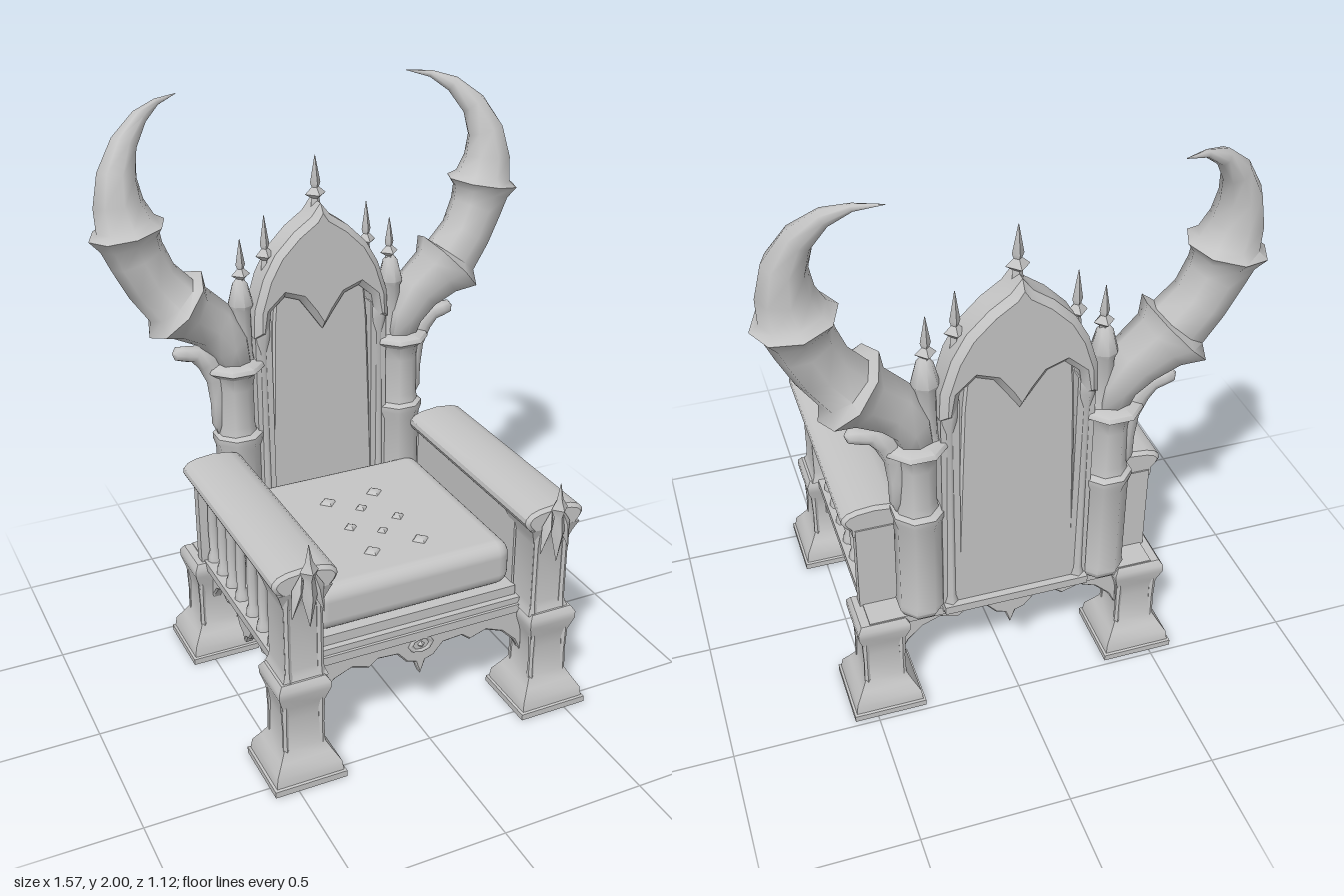
import * as THREE from 'three';
import { toCreasedNormals } from 'three/addons/utils/BufferGeometryUtils.js';
import { RoundedBoxGeometry } from 'three/addons/geometries/RoundedBoxGeometry.js';

const stone = new THREE.MeshStandardMaterial({ color: 0xc4c4c4 });
stone.name = 'pale grey stone';

export function createModel() {
  const root = new THREE.Group();
  root.name = 'gothicThrone';

  const add = (name, geo, x = 0, y = 0, z = 0) => {
    const mesh = new THREE.Mesh(geo, stone);
    mesh.name = name;
    mesh.position.set(x, y, z);
    root.add(mesh);
    return mesh;
  };
  const box = (name, w, h, d, x, y, z) => add(name, new THREE.BoxGeometry(w, h, d), x, y, z);

  // Turned part: profile of [radius, height], closed at both ends
  const turned = (name, profile, sides, x, y, z, crease = 0.6) => {
    const pts = [[0, profile[0][1]], ...profile, [0, profile[profile.length - 1][1]]];
    const geo = new THREE.LatheGeometry(pts.map(p => new THREE.Vector2(p[0], p[1])), sides);
    return add(name, toCreasedNormals(geo, crease), x, y, z);
  };
  // Square part: profile of [half width, height]
  const square = (name, profile, x, y, z) => {
    const mesh = turned(name, profile.map(([w, h]) => [w * Math.SQRT2, h]), 4, x, y, z);
    mesh.rotation.y = Math.PI / 4;
  };
  // Eight-sided part with flats to the front and sides
  const octagon = (name, profile, x, z) => {
    const mesh = turned(name, profile.map(([w, h]) => [w / Math.cos(Math.PI / 8), h]), 8, x, 0, z, 0.9);
    mesh.rotation.y = Math.PI / 8;
  };
  const finial = (name, h, x, y, z, w = 0.038) => turned(name,
    [[w * 0.5, 0], [w * 0.4, h * 0.22], [w, h * 0.3], [w * 0.35, h * 0.42], [w * 0.5, h * 0.5], [0.001, h]], 4, x, y, z);

  // Tapered sweep through [x, y, z, radius] stations
  const sweep = (name, stations, sides, s) => {
    const P = stations.map(p => new THREE.Vector3(p[0] * s, p[1], p[2]));
    const pos = [], idx = [], zAxis = new THREE.Vector3(0, 0, 1);
    P.forEach((p, i) => {
      const T = P[Math.min(i + 1, P.length - 1)].clone().sub(P[Math.max(i - 1, 0)]).normalize();
      const N = T.clone().cross(zAxis).normalize();
      const B = T.clone().cross(N);
      for (let j = 0; j < sides; j++) {
        const a = j / sides * Math.PI * 2, r = stations[i][3];
        const v = p.clone().addScaledVector(N, r * Math.cos(a)).addScaledVector(B, r * Math.sin(a));
        pos.push(v.x, v.y, v.z);
        if (i < P.length - 1) {
          const k = (j + 1) % sides, o = i * sides, n = o + sides;
          idx.push(o + j, o + k, n + k, o + j, n + k, n + j);
        }
      }
    });
    const geo = new THREE.BufferGeometry();
    geo.setAttribute('position', new THREE.Float32BufferAttribute(pos, 3));
    geo.setIndex(idx);
    return add(name, toCreasedNormals(geo, 1.1));
  };

  // Symmetric plate: right half outline from top centre round to bottom centre
  const plate = (name, half, depth, bevel) => {
    const left = half.filter(p => p[0] > 0).reverse().map(([x, y]) => [-x, y]);
    const shape = new THREE.Shape([...half, ...left].map(p => new THREE.Vector2(p[0], p[1])));
    const geo = new THREE.ExtrudeGeometry(shape, {
      depth: depth - 2 * bevel, bevelThickness: bevel,
      bevelSize: bevel, bevelOffset: -bevel, bevelSegments: 1
    });
    geo.translate(0, 0, -depth / 2 + bevel);
    return add(name, toCreasedNormals(geo, 0.6));
  };

  // Seat
  box('seatBase', 1.0, 0.03, 0.86, 0, 0.375, 0.0);
  box('seatRailLower', 0.76, 0.025, 0.84, 0, 0.4, 0);
  box('seatRailUpper', 0.74, 0.035, 0.8, 0, 0.432, 0);
  add('seatCushion', new RoundedBoxGeometry(0.725, 0.165, 0.74, 3, 0.05), 0, 0.53, 0.02);
  for (const [x, z, r] of [[0.09, -0.125, 0.033], [0, -0.04, 0.024], [0.09, 0.065, 0.025], [0, 0.13, 0.022], [0.09, 0.235, 0.033]])
    for (const s of x ? [1, -1] : [1])
      turned('cushionButton', [[r, 0], [r * 0.7, 0.01], [0.005, 0.015]], 4, x * s, 0.61, z);

  // Scalloped aprons on four sides
  const apron = (name, w, drop, x, z, turn) => {
    const mesh = plate(name, [[0, 0.37], [w, 0.37], [w, 0.19], [w * 0.93, 0.24], [w * 0.8, 0.29],
      [w * 0.64, 0.315], [w * 0.48, 0.295], [w * 0.4, 0.32], [w * 0.22, 0.315],
      [w * 0.13, 0.275], [w * 0.05, 0.265], [0, drop]], 0.035, 0.006);
    mesh.position.set(x, 0, z);
    mesh.rotation.y = turn;
  };
  apron('frontApron', 0.39, 0.215, 0, 0.405, 0);
  apron('backApron', 0.39, 0.215, 0, -0.38, 0);
  for (const s of [1, -1]) apron('sideApron', 0.34, 0.235, 0.46 * s, 0.03, Math.PI / 2);
  const rosette = add('apronRosette', new THREE.TorusGeometry(0.032, 0.008, 6, 8), 0, 0.335, 0.422);
  rosette.scale.set(1.2, 0.8, 1);
  add('rosetteBoss', new THREE.OctahedronGeometry(0.016), 0, 0.335, 0.42);

  // Backrest panel and pointed arch
  const panel = plate('backPanel', [[0, 1.42], [0.165, 1.36], [0.18, 1.2], [0.205, 0.4], [0, 0.4]], 0.07, 0.008);
  panel.position.z = -0.405;
  const arch = plate('pointedArch', [[0, 1.63], [0.035, 1.585], [0.1, 1.54], [0.17, 1.47], [0.215, 1.39],
    [0.25, 1.28], [0.255, 1.18], [0.205, 1.18], [0.19, 1.27], [0.14, 1.315],
    [0.085, 1.295], [0.045, 1.24], [0, 1.175]], 0.13, 0.022);
  arch.position.z = -0.4;
  finial('apexFinial', 0.19, 0, 1.595, -0.4);
  box('backFoot', 0.5, 0.03, 0.14, 0, 0.405, -0.395);

  for (const s of [1, -1]) {
    // Legs
    for (const z of [0.428, -0.357]) {
      square('leg', [[0.125, 0], [0.125, 0.022], [0.117, 0.025], [0.112, 0.06], [0.09, 0.095], [0.07, 0.13],
        [0.065, 0.24], [0.072, 0.29], [0.088, 0.34], [0.088, 0.365], [0.075, 0.385]], 0.455 * s, 0, z);
      for (const dx of [-1, 1]) for (const dz of [-1, 1])
        turned('legCornerRib', [[0.014, 0.09], [0.01, 0.2], [0.016, 0.35]], 6, 0.455 * s + dx * 0.062, 0, z + dz * 0.062);
    }

    // Arm: front post, rail, balusters, lining, crowned rest
    square('armPost', [[0.078, 0.38], [0.07, 0.4], [0.066, 0.42], [0.066, 0.65], [0.075, 0.68], [0.09, 0.72]], 0.445 * s, 0, 0.42);
    for (const dx of [-1, 1])
      turned('armPostColonette', [[0.018, 0.38], [0.012, 0.42], [0.012, 0.64], [0.02, 0.7]], 6, 0.445 * s + dx * 0.055, 0, 0.483);
    box('armRail', 0.14, 0.03, 0.8, 0.448 * s, 0.705, 0.07);
    const rest = plate('armRest', [[0, 0.796], [0.06, 0.79], [0.09, 0.78], [0.106, 0.764], [0.109, 0.748],
      [0.1, 0.73], [0.08, 0.708], [0, 0.705]], 0.84, 0.012);
    rest.position.set(0.442 * s, 0, 0.09);
    box('armLining', 0.008, 0.32, 0.7, 0.371 * s, 0.55, 0.03);
    for (const z of [0.285, 0.19, 0.095, -0.01, -0.1, -0.19, -0.285])
      turned('armBaluster', [[0.026, 0.385], [0.024, 0.41], [0.016, 0.43], [0.019, 0.52], [0.016, 0.64],
        [0.024, 0.675], [0.026, 0.7]], 8, 0.465 * s, 0, z, 1);
    box('armBackPost', 0.14, 0.33, 0.04, 0.44 * s, 0.55, -0.315);

    // Spearhead ornament on the arm front
    turned('armSpear', [[0.001, 0.6], [0.026, 0.71], [0.018, 0.77], [0.031, 0.8], [0.013, 0.83], [0.001, 0.89]], 4, 0.44 * s, 0, 0.529);
    for (const d of [-1, 1]) {
      const leaf = turned('armSpearLeaf', [[0.001, -0.08], [0.022, 0.02], [0.001, 0.08]], 4, 0.44 * s + d * 0.036, 0.71, 0.515);
      leaf.rotation.z = d * 0.22;
    }

    // Back pillars
    octagon('lowerPillar', [[0.066, 0.395], [0.078, 0.42], [0.074, 0.44], [0.074, 0.77], [0.083, 0.8], [0.083, 0.82], [0.066, 0.83]],
      0.316 * s, -0.395);
    octagon('upperPillar', [[0.066, 0.82], [0.06, 0.86], [0.06, 1.0], [0.066, 1.05], [0.098, 1.075], [0.092, 1.09], [0.06, 1.1]],
      0.32 * s, -0.395);
    box('panelJamb', 0.06, 0.86, 0.08, 0.22 * s, 0.81, -0.4);
    const shaft = turned('archShaft', [[0.034, 0.4], [0.028, 0.45], [0.026, 1.12], [0.034, 1.18], [0.034, 1.22], [0.025, 1.26]],
      8, 0.222 * s, 0, -0.4, 1);
    shaft.scale.z = 1.8;

    // Pinnacles
    turned('pinnacleShaft', [[0.046, 1.08], [0.038, 1.12], [0.036, 1.28], [0.046, 1.3], [0.028, 1.37], [0.012, 1.39]],
      8, 0.285 * s, 0, -0.4, 1);
    finial('outerFinial', 0.18, 0.28 * s, 1.35, -0.4, 0.034);
    finial('innerFinial', 0.2, 0.19 * s, 1.4, -0.4, 0.034);

    // Great horn with two flared collars
    sweep('horn', [[0.31, 1.06, -0.395, 0.001], [0.315, 1.08, -0.395, 0.06], [0.335, 1.16, -0.395, 0.074],
      [0.39, 1.24, -0.4, 0.09], [0.47, 1.298, -0.4, 0.104], [0.515, 1.335, -0.4, 0.142], [0.528, 1.352, -0.4, 0.1],
      [0.59, 1.43, -0.405, 0.093], [0.632, 1.52, -0.41, 0.096], [0.65, 1.575, -0.413, 0.103], [0.657, 1.61, -0.415, 0.13],
      [0.66, 1.63, -0.415, 0.1], [0.677, 1.7, -0.42, 0.084], [0.672, 1.79, -0.43, 0.066], [0.635, 1.88, -0.455, 0.046],
      [0.57, 1.95, -0.49, 0.028], [0.5, 1.985, -0.525, 0.012], [0.42, 1.998, -0.56, 0.001]], 8, s);

    // Curled side bracket
    sweep('sideScroll', [[0.385, 0.82, -0.4, 0.001], [0.385, 0.87, -0.4, 0.024], [0.38, 0.95, -0.4, 0.03],
      [0.385, 1.04, -0.4, 0.036], [0.415, 1.11, -0.4, 0.038], [0.455, 1.145, -0.4, 0.032],
      [0.495, 1.152, -0.4, 0.028], [0.525, 1.158, -0.4, 0.024], [0.538, 1.16, -0.4, 0.001]], 8, s);
  }
  return root;
}
